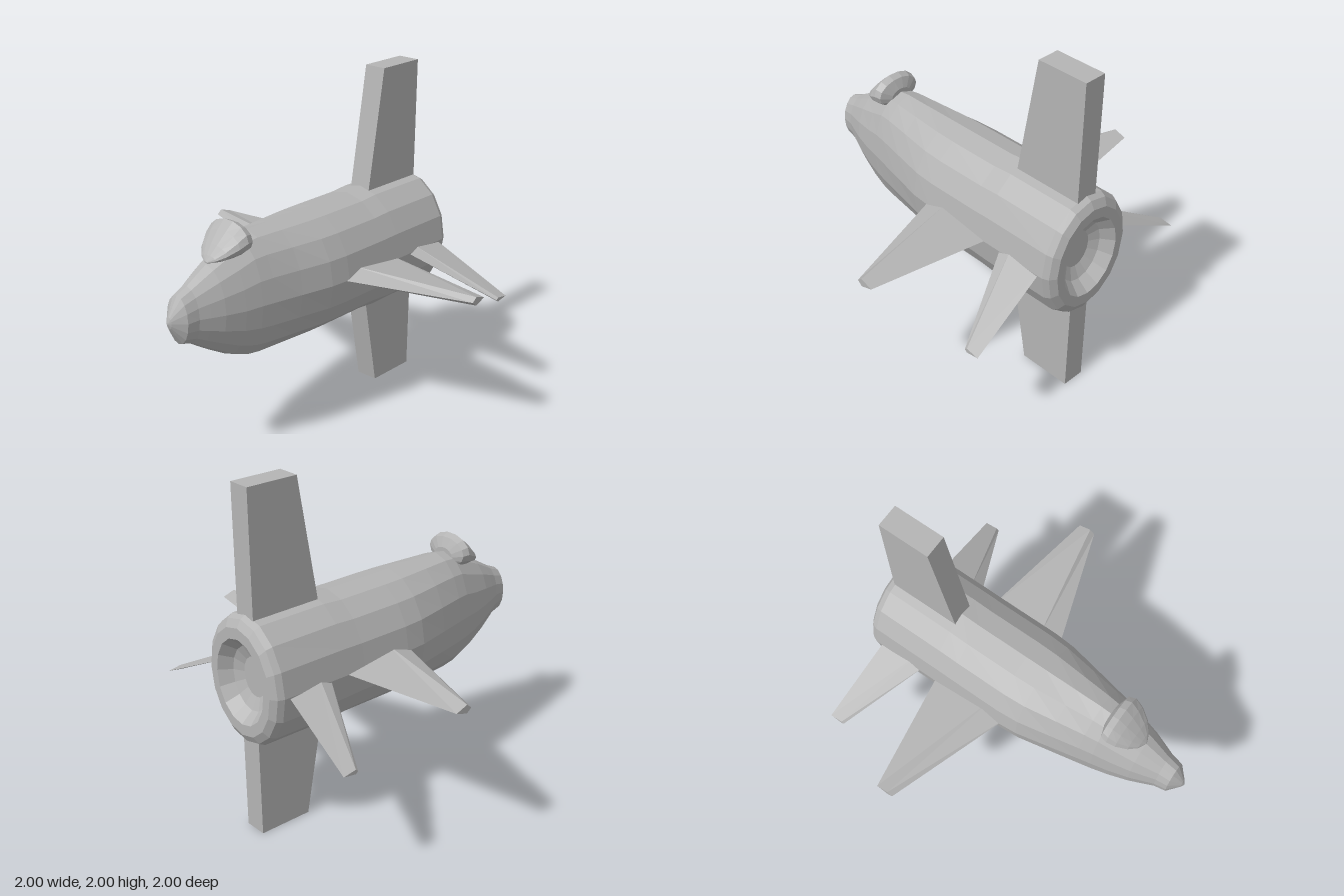
import * as THREE from 'three';

// Faceted skin through a list of equal-length rings, closed at both ends
function loft(rings) {
  const pos = [];
  const tri = (...pts) => pts.forEach((p) => pos.push(p.x, p.y, p.z));
  const n = rings[0].length;
  const centre = (ring) => ring.reduce((c, p) => c.add(p), new THREE.Vector3()).divideScalar(n);
  const last = rings[rings.length - 1];
  const c0 = centre(rings[0]), c1 = centre(last);
  for (let j = 0; j < n; j++) {
    const k = (j + 1) % n;
    tri(c0, rings[0][k], rings[0][j]);
    for (let i = 0; i < rings.length - 1; i++) {
      const a = rings[i], b = rings[i + 1];
      tri(a[j], a[k], b[k]);
      tri(a[j], b[k], b[j]);
    }
    tri(c1, last[j], last[k]);
  }
  const g = new THREE.BufferGeometry();
  g.setAttribute('position', new THREE.Float32BufferAttribute(pos, 3));
  g.computeVertexNormals();
  return g;
}

// Elliptical section at z between two heights, with half width w
function oval([z, top, bottom, w], sides = 16) {
  return Array.from({ length: sides }, (_, i) => {
    const a = (i / sides) * Math.PI * 2;
    return new THREE.Vector3(w * Math.cos(a), (top + bottom) / 2 + ((top - bottom) / 2) * Math.sin(a), z);
  });
}

// Tapered diamond-section wing; each end is [x, y, half thickness, front z, crest z, back z]
function wing(root, tip, side) {
  const inner = root.map((v, i) => v - 0.12 * (tip[i] - v)); // buried in the hull
  const rings = [inner, tip].map(([x, y, h, front, crest, back]) => [
    new THREE.Vector3(side * x, y, back),
    new THREE.Vector3(side * x, y + h, crest),
    new THREE.Vector3(side * x, y, front),
    new THREE.Vector3(side * x, y - h, crest),
  ]);
  return loft(side > 0 ? rings : rings.reverse());
}

// Slab fin from a side outline of [z, y] points
function fin(outline) {
  const shape = new THREE.Shape(outline.map(([z, y]) => new THREE.Vector2(-z, y)));
  const g = new THREE.ExtrudeGeometry(shape, { depth: 0.136, bevelEnabled: false });
  return g.translate(0, 0, -0.068).rotateY(Math.PI / 2);
}

export function createModel() {
  const model = new THREE.Group();
  const grey = new THREE.MeshStandardMaterial({ color: 0xb4b4b4, flatShading: true });
  grey.name = 'hull grey';
  const add = (name, geometry) => {
    const mesh = new THREE.Mesh(geometry, grey);
    mesh.name = name;
    model.add(mesh);
  };

  // Fuselage: sunken nozzle, rounded tail rim, then forward to the nose
  const tail = [[-0.9, 0.31], [-0.93, 0.5], [-1, 0.66], [-1, 0.83], [-0.975, 0.95], [-0.94, 1]]
    .map(([z, r]) => [z, 0.928 + 0.375 * r, 0.928 - 0.375 * r, 0.31 * r]);
  const hull = [
    [-0.52, 1.305, 0.548, 0.31],
    [-0.4, 1.295, 0.56, 0.31],
    [-0.08, 1.295, 0.56, 0.31],
    [0.05, 1.295, 0.56, 0.3],
    [0.25, 1.295, 0.56, 0.257],
    [0.42, 1.295, 0.56, 0.22],
    [0.5, 1.285, 0.57, 0.203],
    [0.6, 1.237, 0.61, 0.18],
    [0.72, 1.18, 0.68, 0.148],
    [0.8, 1.135, 0.73, 0.118],
    [0.86, 1.1, 0.77, 0.095],
    [0.93, 1.07, 0.79, 0.083],
  ];
  add('fuselage', loft([...tail, ...hull].map((s) => oval(s))));

  // Nose cone
  add('noseCone', loft([
    [0.93, 1.07, 0.79, 0.083], [0.965, 1.01, 0.85, 0.046], [0.99, 0.965, 0.895, 0.02], [1, 0.935, 0.925, 0.003],
  ].map((s) => oval(s))));

  // Teardrop canopy
  add('canopy', loft([
    [0.485, 1.31, 1.22, 0.07],
    [0.51, 1.368, 1.2, 0.14],
    [0.55, 1.385, 1.19, 0.15],
    [0.6, 1.34, 1.188, 0.137],
    [0.66, 1.275, 1.186, 0.1],
    [0.7, 1.225, 1.186, 0.055],
    [0.72, 1.195, 1.186, 0.01],
  ].map((s) => oval(s, 14))));

  // Upright fins above and below
  add('upperFin', fin([[-0.945, 1.2], [-0.505, 1.2], [-0.635, 2], [-0.945, 2]]));
  add('lowerFin', fin([[-0.945, 0], [-0.625, 0], [-0.5, 0.65], [-0.945, 0.65]]));

  // Main wings and drooping tailplanes
  for (const [label, side] of [['left', 1], ['right', -1]]) {
    add(label + 'Wing', wing(
      [0.31, 0.927, 0.042, -0.06, -0.185, -0.515],
      [1, 0.93, 0.025, -0.295, -0.325, -0.4], side));
    add(label + 'Tailplane', wing(
      [0.31, 0.918, 0.026, -0.63, -0.7, -0.905],
      [0.782, 0.69, 0.013, -0.86, -0.875, -0.953], side));
  }
  return model;
}
